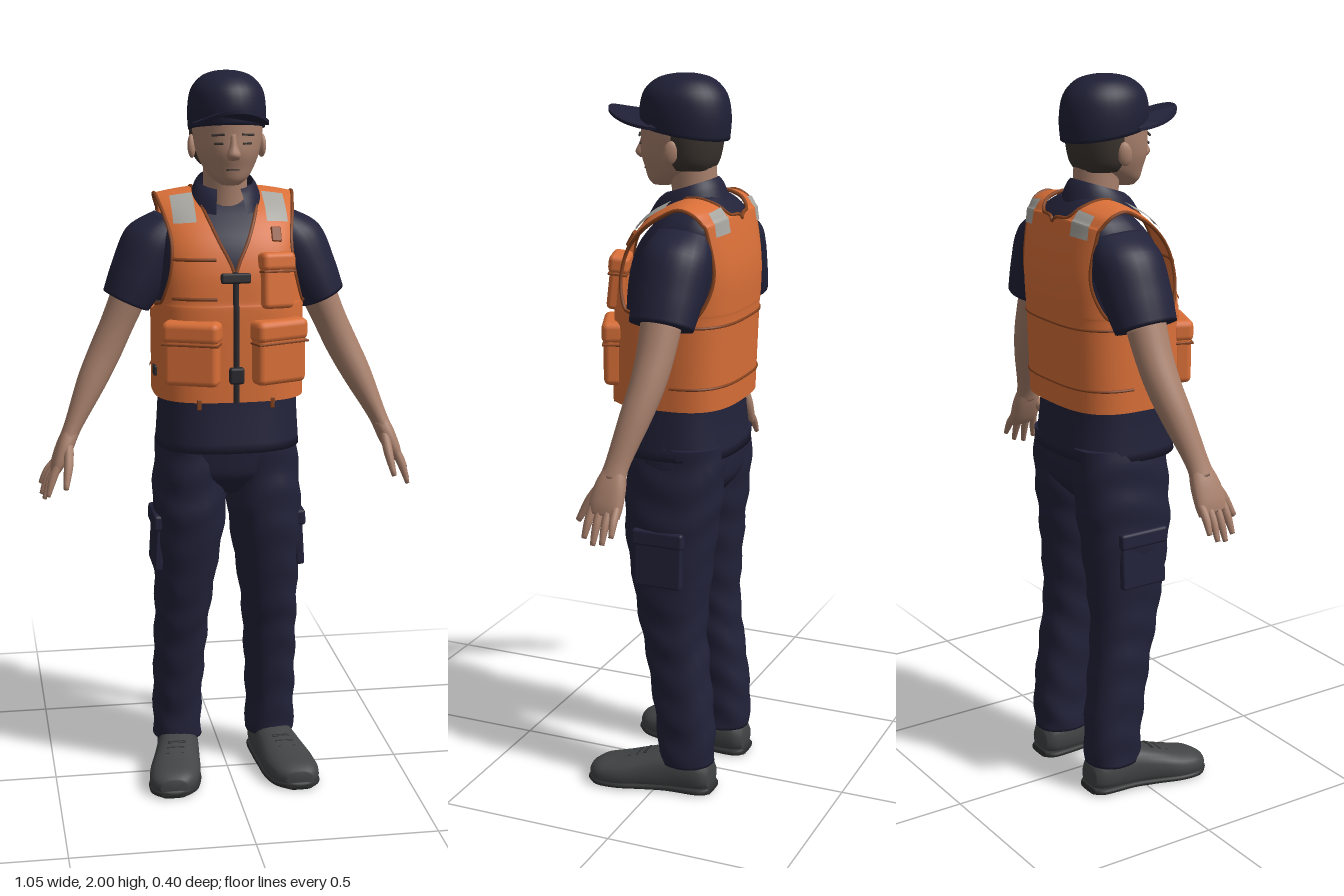
import * as THREE from 'three';
import { RoundedBoxGeometry } from 'three/addons/geometries/RoundedBoxGeometry.js';

const V = (x, y, z) => new THREE.Vector3(x, y, z);
const Y = V(0, 1, 0);
const mat = (name, color, side = THREE.FrontSide) => {
  const m = new THREE.MeshStandardMaterial({ color, side });
  m.name = name;
  return m;
};

// Catmull-Rom interpolation through rows of numbers
function spline(rows, u) {
  const last = rows.length - 1, i = Math.min(Math.floor(u), last - 1), f = u - i;
  const at = n => rows[Math.max(0, Math.min(last, n))];
  return rows[0].map((_, k) => {
    const a = at(i - 1)[k], b = at(i)[k], c = at(i + 1)[k], d = at(i + 2)[k];
    return b + 0.5 * f * (c - a + f * (2 * a - 5 * b + 4 * c - d + f * (3 * (b - c) + d - a)));
  });
}

const power = (c, p) => Math.sign(c) * Math.abs(c) ** (2 / p);

// Closed body through rings [x, y, z, halfWidth, halfDepth], all facing one axis
function loft(rings, { axis, p = 2, seg = 24, sub = 4, wrinkle = 0, edit } = {}) {
  const first = rings[0], end = rings[rings.length - 1];
  const T = (axis || V(end[0] - first[0], end[1] - first[1], end[2] - first[2])).clone().normalize();
  const N = V(1, 0, 0).addScaledVector(T, -T.x).normalize(), B = T.clone().cross(N);
  const pos = [], index = [], n = (rings.length - 1) * sub;
  const add = v => { if (edit) edit(v); pos.push(v.x, v.y, v.z); };
  for (let i = 0; i <= n; i++) {
    const [x, y, z, a, b] = spline(rings, i / sub);
    for (let j = 0; j < seg; j++) {
      const t = j / seg * Math.PI * 2, w = wrinkle * Math.sin(y * 55 + 2 * Math.sin(t * 2 + x * 9));
      add(V(x, y, z).addScaledVector(N, (a + w) * power(Math.cos(t), p)).addScaledVector(B, (b + w) * power(Math.sin(t), p)));
      if (i < n) {
        const k = (j + 1) % seg, r = i * seg, s = r + seg;
        index.push(r + j, r + k, s + j, r + k, s + k, s + j);
      }
    }
  }
  const c0 = (n + 1) * seg;
  add(V(...first)); add(V(...end));
  for (let j = 0; j < seg; j++) {
    const k = (j + 1) % seg;
    index.push(c0, k, j, c0 + 1, n * seg + j, n * seg + k);
  }
  return build(pos, index);
}

function build(pos, index) {
  const g = new THREE.BufferGeometry();
  g.setAttribute('position', new THREE.Float32BufferAttribute(pos, 3));
  g.setIndex(index);
  g.computeVertexNormals();
  return g;
}

// Open sheet from a rule fn(u, v)
function sheet(nu, nv, fn) {
  const pos = [], index = [];
  for (let i = 0; i <= nu; i++) for (let j = 0; j <= nv; j++) {
    pos.push(...fn(i / nu, j / nv).toArray());
    if (i < nu && j < nv) {
      const a = i * (nv + 1) + j, b = a + nv + 1;
      index.push(a, a + 1, b, a + 1, b + 1, b);
    }
  }
  return build(pos, index);
}

// Vest strip from front hem over the shoulder to back hem: [y, z, innerX, outerX, sideZ]
const W = 0.206;
const vestRows = [
  [1.13, 0.16, 0.004, W, -0.02], [1.36, 0.155, 0.004, W, -0.025], [1.40, 0.15, 0.004, 0.188, -0.03],
  [1.48, 0.14, 0.004, 0.167, -0.04], [1.56, 0.11, 0.04, 0.162, -0.05], [1.63, 0.055, 0.068, 0.174, -0.065],
  [1.675, -0.02, 0.082, 0.185, -0.075], [1.69, -0.08, 0.088, 0.19, -0.08], [1.675, -0.14, 0.084, 0.187, -0.08],
  [1.645, -0.168, 0.06, 0.178, -0.07], [1.625, -0.178, 0, 0.174, -0.065], [1.5, -0.2, 0, 0.166, -0.045],
  [1.40, -0.2, 0, 0.188, -0.03], [1.36, -0.197, 0, W, -0.025], [1.13, -0.188, 0, W, -0.02]];
function vestPoint(s, x, lift = 0) {
  const [y, z, , , zc] = spline(vestRows, s), q = Math.min(Math.abs(x) / W, 1);
  const drop = 0.025 * q * q * THREE.MathUtils.smoothstep(y, 1.5, 1.69);
  return V(x, y - drop + (s > 4 && s < 10 ? lift : 0), zc + (z - zc) * (1 - q ** 3) ** (1 / 3) + (s < 7 ? lift : -lift));
}
const vestEdge = (s, k) => Math.min(W, Math.max(0, spline(vestRows, s)[k]));

export function createModel() {
  const model = new THREE.Group();
  const navy = mat('navy cloth', 0x22223a, THREE.DoubleSide), capNavy = mat('cap navy', 0x1f2036);
  const skin = mat('skin', 0xa8806c), hair = mat('hair', 0x3b342f);
  const orange = mat('vest orange', 0xd96f38, THREE.DoubleSide), seam = mat('vest seam', 0x86431f);
  const black = mat('black trim', 0x2b2b30), silver = mat('reflective grey', 0xa8a6a0, THREE.DoubleSide);
  const shoe = mat('shoe grey', 0x424445), sole = mat('sole', 0x2f3031);
  const add = (name, geometry, material, parent = model) => {
    const m = new THREE.Mesh(geometry, material);
    m.name = name;
    parent.add(m);
    return m;
  };
  const box = (name, material, size, at, rot = [0, 0, 0], parent = model) => {
    const r = Math.min(...size) * 0.3;
    const m = add(name, new RoundedBoxGeometry(...size, 2, r), material, parent);
    m.position.set(...at);
    m.rotation.set(...rot);
    return m;
  };
  const cord = (name, pts, r, material) =>
    add(name, new THREE.TubeGeometry(new THREE.CatmullRomCurve3(pts), pts.length * 2, r, 6), material);
  const steps = (n, a, b) => Array.from({ length: n + 1 }, (_, i) => a + (b - a) * i / n);

  // Head and face
  add('neck', loft([[0, 1.58, -0.05, 0.065, 0.065], [0, 1.68, -0.043, 0.06, 0.062], [0, 1.78, -0.035, 0.06, 0.065]], { axis: Y }), skin);
  add('head', loft([[0, 1.703, 0.05, 0.025, 0.028], [0, 1.72, 0.04, 0.048, 0.05], [0, 1.75, 0.012, 0.07, 0.086],
    [0, 1.79, 0.002, 0.086, 0.107], [0, 1.84, -0.003, 0.094, 0.11], [0, 1.9, -0.005, 0.096, 0.112]], { axis: Y, seg: 32 }), skin);
  add('hair', loft([[0, 1.75, -0.035, 0.07, 0.06], [0, 1.775, -0.035, 0.088, 0.073], [0, 1.82, -0.037, 0.097, 0.08],
    [0, 1.87, -0.037, 0.1, 0.085]], { axis: Y }), hair);
  add('nose', loft([[0, 1.772, 0.105, 0.014, 0.012], [0, 1.786, 0.11, 0.019, 0.02], [0, 1.81, 0.105, 0.011, 0.015],
    [0, 1.84, 0.1, 0.008, 0.01]], { axis: Y, seg: 12 }), skin);
  box('mouth', seam, [0.036, 0.004, 0.006], [0, 1.746, 0.095]).material = hair;
  for (const s of [1, -1]) {
    const ear = add('ear', new THREE.SphereGeometry(1, 12, 10), skin);
    ear.scale.set(0.011, 0.032, 0.02);
    ear.position.set(s * 0.095, 1.8, -0.012);
    ear.rotation.set(-0.15, s * 0.3, 0);
    box('eye', hair, [0.026, 0.006, 0.006], [s * 0.038, 1.815, 0.099], [0, s * 0.36, 0]);
    box('eyebrow', hair, [0.036, 0.006, 0.006], [s * 0.04, 1.838, 0.1], [0, s * 0.36, -s * 0.08]);
  }

  // Cap: crown tilts down to the back, peak bends down at its sides
  add('capCrown', loft([[0, 1.848, -0.014, 0.103, 0.122], [0, 1.9, -0.015, 0.105, 0.125], [0, 1.95, -0.016, 0.096, 0.113],
    [0, 1.983, -0.017, 0.068, 0.08], [0, 1.996, -0.017, 0.034, 0.04], [0, 1.999, -0.017, 0.004, 0.004]],
  { axis: Y, seg: 32, edit: v => { v.y += v.z * (2 - v.y); } }), capNavy);
  add('capButton', new THREE.SphereGeometry(0.008, 10, 8), capNavy).position.set(0, 1.992, -0.017);
  const peakShape = new THREE.Shape();
  peakShape.moveTo(-0.1, 0.03);
  peakShape.bezierCurveTo(-0.112, 0.261, 0.112, 0.261, 0.1, 0.03);
  for (const x of steps(12, 0.1, -0.1).slice(1, -1)) peakShape.lineTo(x, 0.03);
  const peak = new THREE.ExtrudeGeometry(peakShape, { depth: 0.008, bevelEnabled: false, curveSegments: 28 });
  peak.rotateX(Math.PI / 2);
  const pp = peak.attributes.position;
  for (let i = 0; i < pp.count; i++) pp.setY(i, pp.getY(i) + 1.9 + 0.08 * (pp.getZ(i) - 0.1) - 3 * pp.getX(i) ** 2);
  peak.computeVertexNormals();
  add('capPeak', peak, capNavy);

  // Shirt body and collar
  add('shirt', loft([[0, 0.985, -0.015, 0.198, 0.168], [0, 1.13, -0.014, 0.19, 0.152], [0, 1.3, -0.02, 0.19, 0.15],
    [0, 1.45, -0.03, 0.185, 0.152], [0, 1.55, -0.045, 0.183, 0.138], [0, 1.62, -0.067, 0.165, 0.105],
    [0, 1.66, -0.075, 0.125, 0.07], [0, 1.685, -0.068, 0.075, 0.055]], { axis: Y, p: 2.6, seg: 40 }), navy);
  add('collar', sheet(40, 5, (u, v) => {
    const a = (u * 2 - 1) * 2.72, f = (1 - Math.cos(a)) / 2;
    const top = V(0.076 * Math.sin(a), 1.73 - 0.045 * f, -0.037 - 0.068 * Math.cos(a));
    const low = V(0.1 * Math.sin(a), 1.672 - 0.05 * f, -0.035 - 0.1 * Math.cos(a) + 0.02 * f * f);
    return top.lerp(low, v).add(V(0, 0.01 * Math.sin(v * Math.PI), 0));
  }), navy);

  // Trousers seat
  add('trouserSeat', loft([[0, 0.85, -0.03, 0.06, 0.09], [0, 0.9, -0.03, 0.17, 0.13], [0, 0.95, -0.03, 0.196, 0.14],
    [0, 1.03, -0.025, 0.192, 0.142]], { axis: Y, p: 2.5 }), navy);

  for (const s of [1, -1]) {
    const side = new THREE.Group();
    side.name = s > 0 ? 'leftLimbs' : 'rightLimbs';
    model.add(side);
    const m = rows => rows.map(([x, ...rest]) => [s * x, ...rest]);

    // Leg, cargo pocket and shoe
    add('trouserLeg', loft(m([[0.137, 0.085, -0.078, 0.07, 0.078], [0.137, 0.2, -0.075, 0.07, 0.083],
      [0.13, 0.4, -0.048, 0.075, 0.088], [0.124, 0.52, -0.031, 0.08, 0.098], [0.109, 0.75, -0.02, 0.1, 0.128],
      [0.104, 0.85, -0.025, 0.103, 0.136], [0.1, 0.95, -0.03, 0.099, 0.138], [0.098, 1.02, -0.03, 0.095, 0.138]]),
    { axis: Y, p: 2.3, sub: 8, wrinkle: 0.0025 }), navy, side);
    box('cargoPocket', navy, [0.024, 0.15, 0.14], [s * 0.198, 0.7, -0.02], [0, 0, s * 0.06], side);
    box('cargoFlap', navy, [0.028, 0.045, 0.15], [s * 0.201, 0.765, -0.02], [0, 0, s * 0.06], side);
    const Z = V(0, 0, 1);
    add('shoe', loft(m([[0.135, 0.045, -0.155, 0.036, 0.03], [0.135, 0.055, -0.125, 0.055, 0.055], [0.14, 0.055, -0.04, 0.06, 0.065],
      [0.152, 0.048, 0.03, 0.066, 0.055], [0.166, 0.036, 0.1, 0.073, 0.046], [0.176, 0.032, 0.16, 0.064, 0.036],
      [0.18, 0.03, 0.19, 0.036, 0.022]]), { axis: Z, p: 2.4, edit: v => { v.y = Math.max(v.y, 0.008); } }), shoe, side);
    add('shoeSole', loft(m([[0.135, 0.011, -0.16, 0.036, 0.01], [0.135, 0.011, -0.13, 0.057, 0.011], [0.14, 0.011, -0.04, 0.06, 0.011],
      [0.152, 0.011, 0.03, 0.067, 0.011], [0.166, 0.011, 0.1, 0.075, 0.011], [0.176, 0.011, 0.16, 0.066, 0.011],
      [0.18, 0.012, 0.195, 0.034, 0.01]]), { axis: Z, p: 3.5, edit: v => { v.y = Math.max(v.y, 0); } }), sole, side);
    for (const i of [0, 1, 2]) {
      box('shoeLace', sole, [0.05, 0.006, 0.008], [s * (0.153 + i * 0.005), 0.1 - i * 0.008, 0.035 + i * 0.022], [0.3, 0, 0], side);
    }

    // Sleeve, arm and hand
    add('sleeve', loft(m([[0.15, 1.6, -0.075, 0.045, 0.075], [0.19, 1.54, -0.07, 0.085, 0.096], [0.235, 1.45, -0.065, 0.081, 0.095],
      [0.272, 1.378, -0.062, 0.068, 0.088]]), { axis: V(s * 0.42, -0.9, 0.03), sub: 6 }), navy, side);
    add('arm', loft(m([[0.265, 1.39, -0.06, 0.05, 0.056], [0.3, 1.31, -0.058, 0.046, 0.051], [0.335, 1.235, -0.05, 0.045, 0.047],
      [0.375, 1.155, -0.033, 0.04, 0.042], [0.425, 1.05, -0.008, 0.026, 0.033], [0.445, 1.005, 0, 0.024, 0.036]])), skin, side);
    add('palm', loft(m([[0.434, 1.03, -0.003, 0.022, 0.03], [0.452, 0.99, 0.002, 0.024, 0.042], [0.472, 0.945, 0.006, 0.02, 0.046],
      [0.483, 0.918, 0.007, 0.013, 0.043]]), { p: 2.4 }), skin, side);
    [[0.04, 0.505, 0.858, 0.055], [0.018, 0.514, 0.845, 0.026], [-0.005, 0.52, 0.852, -0.003], [-0.026, 0.521, 0.876, -0.03]]
      .forEach(([z, x, y, tipZ]) => add('finger', loft(m([[0.474, 0.945, z, 0.011, 0.011],
        [0.474 + (x - 0.474) * 0.6, (y + 0.945) / 2, (z + tipZ) / 2, 0.011, 0.011], [x, y, tipZ, 0.006, 0.007]]), { seg: 10 }), skin, side));
    add('thumb', loft(m([[0.443, 1.0, 0.02, 0.013, 0.015], [0.448, 0.945, 0.062, 0.013, 0.014], [0.458, 0.888, 0.093, 0.007, 0.008]]), { seg: 12 }), skin, side);

    // Vest half, its piping, shoulder patches and lower pocket
    add('vestHalf', sheet(84, 18, (u, v) => {
      const q = u * 14, a = vestEdge(q, 2), b = vestEdge(q, 3);
      return vestPoint(q, s * (a + (b - a) * Math.sin(v * Math.PI / 2)));
    }), orange);
    cord('neckPiping', steps(30, 3, 10).map(q => vestPoint(q, s * vestEdge(q, 2))), 0.005, seam);
    cord('armholePiping', steps(44, 1.3, 12.7).map(q => vestPoint(q, s * vestEdge(q, 3))), 0.005, seam);
    for (const [a, b] of [[4.6, 6.0], [8.3, 10.2]]) {
      add('reflectivePatch', sheet(10, 6, (u, v) => vestPoint(a + (b - a) * u, s * (0.095 + 0.06 * v), 0.006)), silver);
    }
    const pocket = new THREE.Group();
    pocket.name = 'lowerPocket';
    pocket.position.set(s * 0.117, 1.265, 0.143);
    pocket.rotation.set(0, s * 0.38, 0);
    model.add(pocket);
    box('pocketBag', orange, [0.15, 0.165, 0.056], [0, -0.005, 0], [0, 0, 0], pocket);
    box('pocketFlap', orange, [0.158, 0.06, 0.066], [0, 0.058, 0], [0, 0, 0], pocket);
    box('pocketFlapSeam', seam, [0.156, 0.006, 0.062], [0, 0.026, 0], [0, 0, 0], pocket);
    for (const y of [1.2, 1.375]) box('sideBuckle', black, [0.014, 0.028, 0.04], [s * (y > 1.3 ? 0.192 : 0.203), y, 0.03]);
    box('hemTab', seam, [0.012, 0.03, 0.01], [s * 0.1, 1.125, 0.15]);
  }

  // Vest seams across the back and right chest
  for (const q of [13, 13.68]) cord('backSeam', steps(36, -1.5, 1.5).map(t => vestPoint(q, W * Math.sin(t))), 0.004, seam);
  for (const q of [2.15, 3.4]) cord('chestSeam', steps(8, -0.165, -0.05).map(x => vestPoint(q, x)), 0.005, seam);

  // Upper left pocket and loop
  const chest = new THREE.Group();
  chest.name = 'chestPocket';
  chest.position.set(0.112, 1.455, 0.132);
  chest.rotation.set(-0.12, 0.28, 0);
  model.add(chest);
  box('chestPocketBag', orange, [0.09, 0.14, 0.045], [0, -0.005, 0], [0, 0, 0], chest);
  box('chestPocketFlap', orange, [0.098, 0.05, 0.056], [0, 0.05, 0], [0, 0, 0], chest);
  box('chestPocketSeam', seam, [0.096, 0.006, 0.052], [0, 0.024, 0], [0, 0, 0], chest);
  box('chestLoop', seam, [0.028, 0.042, 0.01], vestPoint(4.2, 0.118).toArray(), [-0.5, 0.2, 0]);

  // Zip and front buckles
  cord('zip', steps(14, 0, 3).map(q => vestPoint(q, 0, 0.002)), 0.008, black);
  box('chestBuckle', black, [0.08, 0.028, 0.022], [0, 1.465, 0.147], [-0.15, 0, 0]);
  box('waistBuckle', black, [0.04, 0.045, 0.024], [0, 1.205, 0.165]);
  return model;
}
